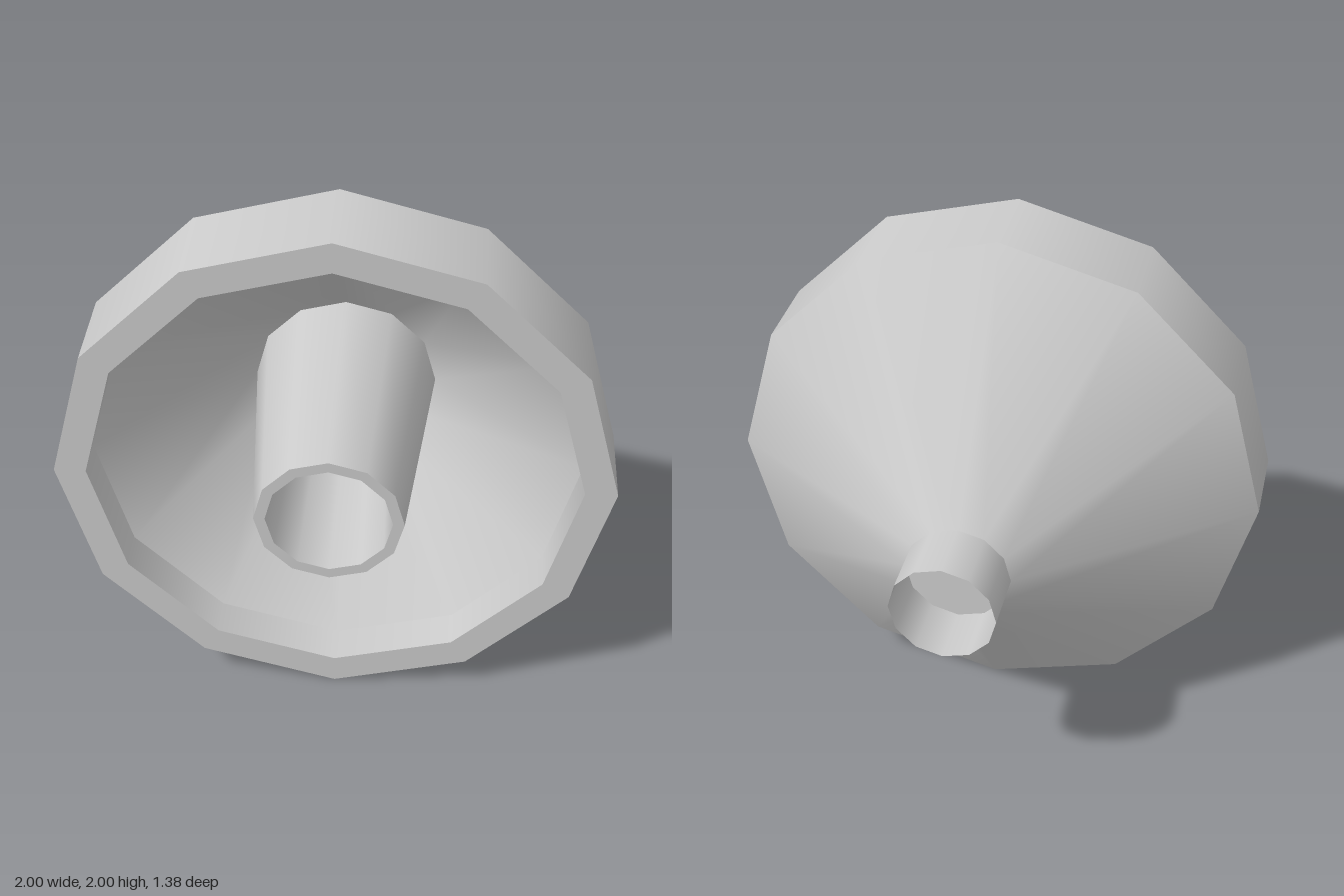
import * as THREE from 'three';

const SIDES = 12;
const grey = new THREE.MeshStandardMaterial({ color: 0xcccccc });
const greyThin = new THREE.MeshStandardMaterial({ color: 0xcccccc, side: THREE.DoubleSide });

// One turned band per profile segment: sharp between bands, smooth around
function turned(name, profile, material = grey) {
  const part = new THREE.Group();
  part.name = name;
  for (let i = 0; i < profile.length - 1; i++) {
    const pts = [profile[i], profile[i + 1]].map(([r, z]) => new THREE.Vector2(r, z));
    const band = new THREE.Mesh(new THREE.LatheGeometry(pts, SIDES), material);
    band.name = `${name}Band${i + 1}`;
    part.add(band);
  }
  return part;
}

export function createModel() {
  const model = new THREE.Group();
  model.name = 'funnel';

  // Profiles are [radius, distance along the axis]
  const body = new THREE.Group();
  body.name = 'body';
  body.add(
    // Conical back, rim wall and front lip
    turned('outerShell', [[0, -0.46], [0.193, -0.46], [1, 0.147], [1, 0.482], [0.885, 0.482]]),
    // Short inner wall and dished inside
    turned('innerDish', [[0.885, 0.482], [0.885, 0.335], [0.34, -0.15]]),
    // Tapered front nozzle with its bore and closed end
    turned('nozzle', [[0.34, -0.15], [0.262, 0.69], [0.222, 0.69], [0.178, -0.45], [0, -0.45]]),
    // Thin open tube at the back
    turned('rearTube', [[0.193, -0.69], [0.193, -0.46]], greyThin)
  );

  // Axis runs along z, leaning very slightly forward
  body.rotation.x = Math.PI / 2 + 0.0105;
  body.position.y = 1.003;
  model.add(body);
  return model;
}
